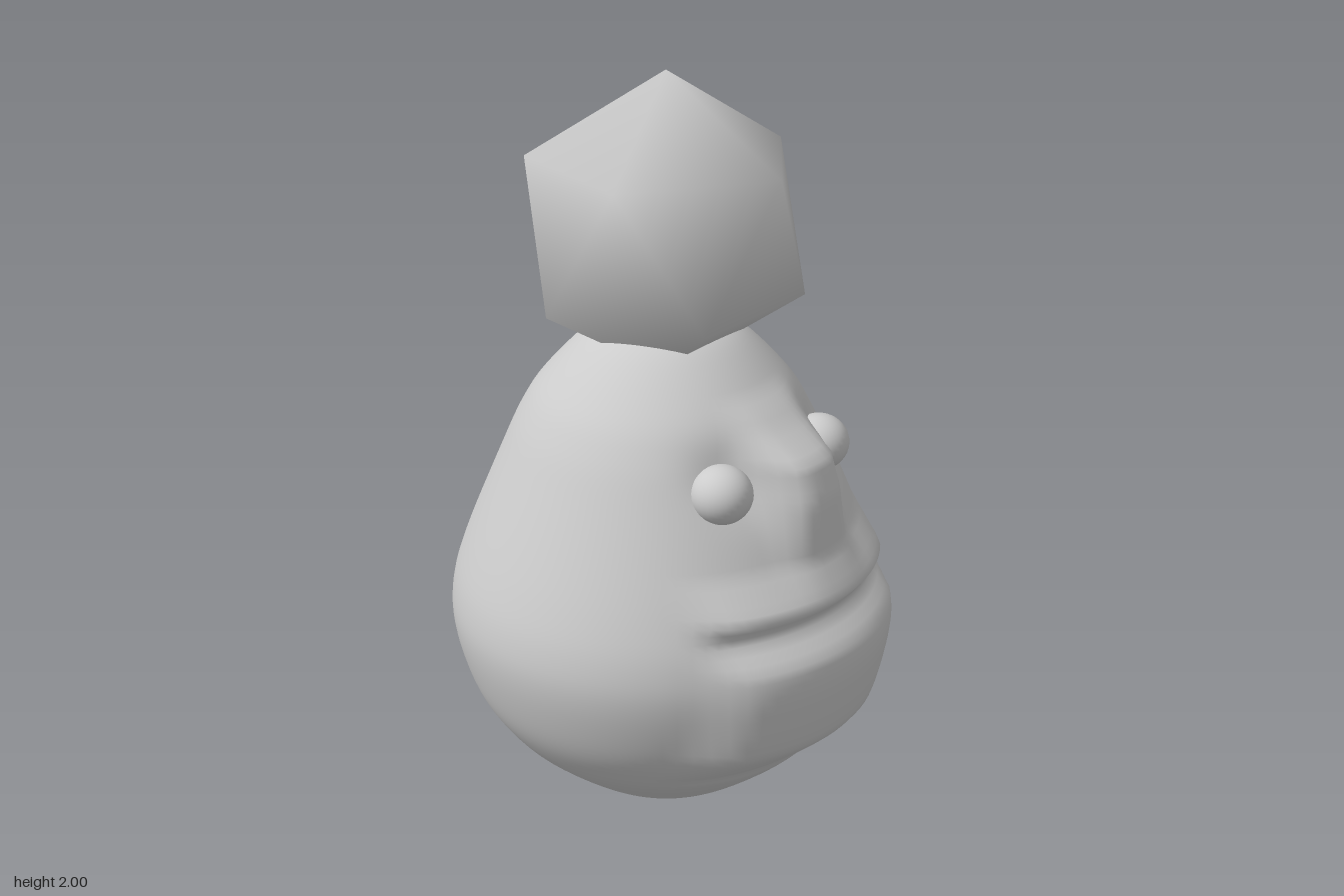
import * as THREE from 'three';
import { mergeVertices } from 'three/addons/utils/BufferGeometryUtils.js';

const CENTRE_X = -0.02;
const { smoothstep } = THREE.MathUtils;

// Weld shared corners so the shading runs smoothly over the whole surface.
function weld(geometry) {
  geometry.deleteAttribute('uv');
  geometry.deleteAttribute('normal');
  const welded = mergeVertices(geometry);
  welded.computeVertexNormals();
  return welded;
}

// Linear interpolation through [y, value] pairs.
function sample(table, y) {
  for (let i = 1; i < table.length; i++) {
    const [y0, a] = table[i - 1], [y1, b] = table[i];
    if (y >= y0 && y <= y1) return a + (b - a) * (y - y0) / (y1 - y0);
  }
  return 0;
}

// Forward push of the face along its height: chin and lips, then nose and brow.
const MOUTH = [[0.24, -0.015], [0.36, 0.05], [0.48, 0.04], [0.62, 0.035], [0.695, -0.02],
  [0.75, 0.04], [0.85, 0]];
const NOSE = [[0.75, 0], [0.85, 0.025], [1, 0.08], [1.09, 0.09], [1.16, 0.03], [1.235, 0]];

function facePush(y, z) {
  const side = Math.abs(z);
  const mouth = sample(MOUTH, y) * (1 - smoothstep(side, 0.3, 0.41));
  const nose = sample(NOSE, y) * (1 - smoothstep(side, 0.06, 0.17));
  const socket = 0.03 * Math.exp(-((y - 1.06) ** 2 + (side - 0.19) ** 2) / 0.007);
  return mouth + nose - socket;
}

// Egg-shaped head, turned from a profile and pushed out into a face towards +x.
function headGeometry() {
  const outline = [[0, 0.005], [0.12, 0.02], [0.24, 0.065], [0.4, 0.19], [0.48, 0.28], [0.535, 0.38],
    [0.573, 0.52], [0.573, 0.63], [0.535, 0.76], [0.435, 1], [0.38, 1.12], [0.32, 1.21],
    [0.2, 1.33], [0.1, 1.37], [0, 1.38]].map(([r, y]) => new THREE.Vector2(r, y));
  const profile = new THREE.SplineCurve(outline).getSpacedPoints(90);
  profile.forEach((p) => { p.x = Math.max(p.x, 0); });
  const geometry = new THREE.LatheGeometry(profile, 96, -Math.PI / 2);
  const pos = geometry.attributes.position;
  for (let i = 0; i < pos.count; i++) {
    const x = pos.getX(i), y = pos.getY(i), z = pos.getZ(i);
    const front = smoothstep(x, 0.05, 0.2);
    pos.setX(i, x + CENTRE_X + front * facePush(y, z));
  }
  return weld(geometry);
}

export function createModel() {
  const model = new THREE.Group();
  const material = new THREE.MeshStandardMaterial({ color: 0xcccccc });
  const add = (name, geometry, x, y, z) => {
    const mesh = new THREE.Mesh(geometry, material);
    mesh.name = name;
    mesh.position.set(x, y, z);
    model.add(mesh);
    return mesh;
  };

  add('head', headGeometry(), 0, 0, 0);

  // Topknot: a smooth-shaded icosahedron standing on one corner.
  const knot = weld(new THREE.IcosahedronGeometry(0.395, 0));
  knot.rotateZ(-Math.atan2(1, (1 + Math.sqrt(5)) / 2));
  add('topknot', knot, CENTRE_X, 1.605, 0);

  // Eyes, sunk into the sockets on both sides of the nose.
  const eye = new THREE.SphereGeometry(0.08, 32, 20);
  for (const side of [1, -1]) {
    const mesh = add(side > 0 ? 'rightEye' : 'leftEye', eye, 0.32, 1.035, side * 0.21);
    mesh.scale.set(1, 0.93, 1);
  }
  return model;
}
